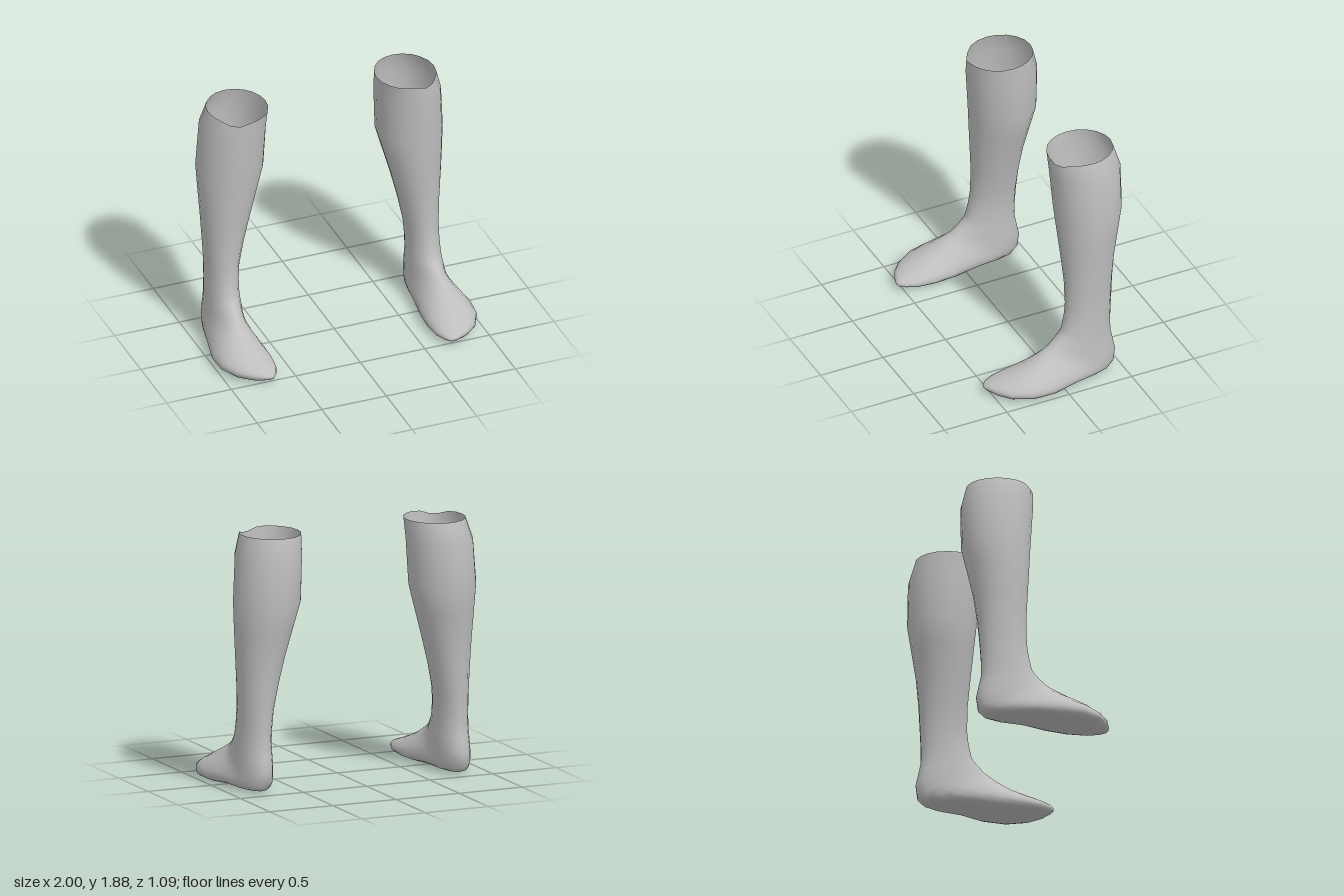
import * as THREE from 'three';

const SIDES = 20;

// Rings from the cuff down the shin, round the heel and out to the toes:
// [front/top z, y,  back/bottom z, y,  inner x, outer x,  shift of the widest point toward the sole]
const RINGS = [
  [-0.01, 1.885, -0.50, 1.885, 0.43, 0.872, 0],
  [-0.018, 1.74, -0.545, 1.72, 0.437, 0.918, 0],
  [-0.045, 1.40, -0.545, 1.40, 0.45, 0.94, 0],
  [-0.06, 1.20, -0.507, 1.20, 0.505, 0.93, 0],
  [-0.075, 1.00, -0.47, 1.00, 0.56, 0.918, 0],
  [-0.088, 0.80, -0.448, 0.80, 0.61, 0.905, 0],
  [-0.086, 0.62, -0.435, 0.60, 0.65, 0.895, 0],
  [-0.073, 0.52, -0.427, 0.45, 0.66, 0.895, 0],
  [-0.05, 0.42, -0.428, 0.34, 0.662, 0.898, 0],
  [-0.025, 0.385, -0.445, 0.26, 0.66, 0.90, 0],
  [0.00, 0.36, -0.466, 0.16, 0.658, 0.905, 0],
  [0.03, 0.335, -0.45, 0.06, 0.656, 0.91, 0.05],
  [0.06, 0.31, -0.39, 0.02, 0.652, 0.918, 0.15],
  [0.10, 0.285, -0.28, 0.015, 0.645, 0.935, 0.25],
  [0.15, 0.255, -0.10, 0.025, 0.633, 0.962, 0.35],
  [0.24, 0.208, 0.08, 0.014, 0.612, 0.998, 0.35],
  [0.34, 0.165, 0.25, 0.008, 0.605, 0.99, 0.25],
  [0.44, 0.125, 0.40, 0.013, 0.618, 0.925, 0.1],
  [0.51, 0.10, 0.485, 0.025, 0.65, 0.835, 0],
  [0.54, 0.075, 0.532, 0.042, 0.68, 0.75, 0],
];

function stockingGeometry(side) {
  const pos = [], index = [];
  RINGS.forEach(([az, ay, bz, by, x0, x1, shift], i) => {
    const foot = THREE.MathUtils.clamp((i - 10) / 4, 0, 1);
    for (let j = 0; j < SIDES; j++) {
      const a = (j / SIDES) * Math.PI * 2;
      const c = Math.cos(a), s = Math.sin(a);
      // the sole half of a foot ring is squarer than the leg's oval
      const p = c < 0 ? 1 - 0.35 * foot : 1;
      const across = Math.sign(s) * Math.abs(s) ** p;
      const along = c - shift * s * s;
      const x = (x0 + x1) / 2 + across * (x1 - x0) / 2;
      let y = (ay + by) / 2 + along * (ay - by) / 2;
      const z = (az + bz) / 2 + along * (az - bz) / 2;
      // small dip in the cuff beside the shin
      if (i === 0) y -= 0.032 * Math.exp(-(((a - 0.45) / 0.35) ** 2));
      pos.push(side * x, y, z);
    }
  });
  const tri = (a, b, c) => (side > 0 ? index.push(a, b, c) : index.push(a, c, b));
  for (let i = 0; i < RINGS.length - 1; i++) {
    for (let j = 0; j < SIDES; j++) {
      const k = (j + 1) % SIDES;
      const a = i * SIDES + j, b = i * SIDES + k;
      tri(a, a + SIDES, b);
      tri(b, a + SIDES, b + SIDES);
    }
  }
  // closed toe tip
  const tip = pos.length / 3, last = tip - SIDES;
  pos.push(side * 0.71, 0.058, 0.546);
  for (let j = 0; j < SIDES; j++) tri(last + j, tip, last + ((j + 1) % SIDES));

  const g = new THREE.BufferGeometry();
  g.setAttribute('position', new THREE.Float32BufferAttribute(pos, 3));
  g.setIndex(index);
  g.computeVertexNormals();
  return g;
}

export function createModel() {
  const group = new THREE.Group();
  group.name = 'stockings';
  const fabric = new THREE.MeshStandardMaterial({ color: 0xbfbfbf, side: THREE.DoubleSide });
  fabric.name = 'grey fabric';
  for (const [name, side] of [['leftStocking', 1], ['rightStocking', -1]]) {
    const mesh = new THREE.Mesh(stockingGeometry(side), fabric);
    mesh.name = name;
    group.add(mesh);
  }
  return group;
}
